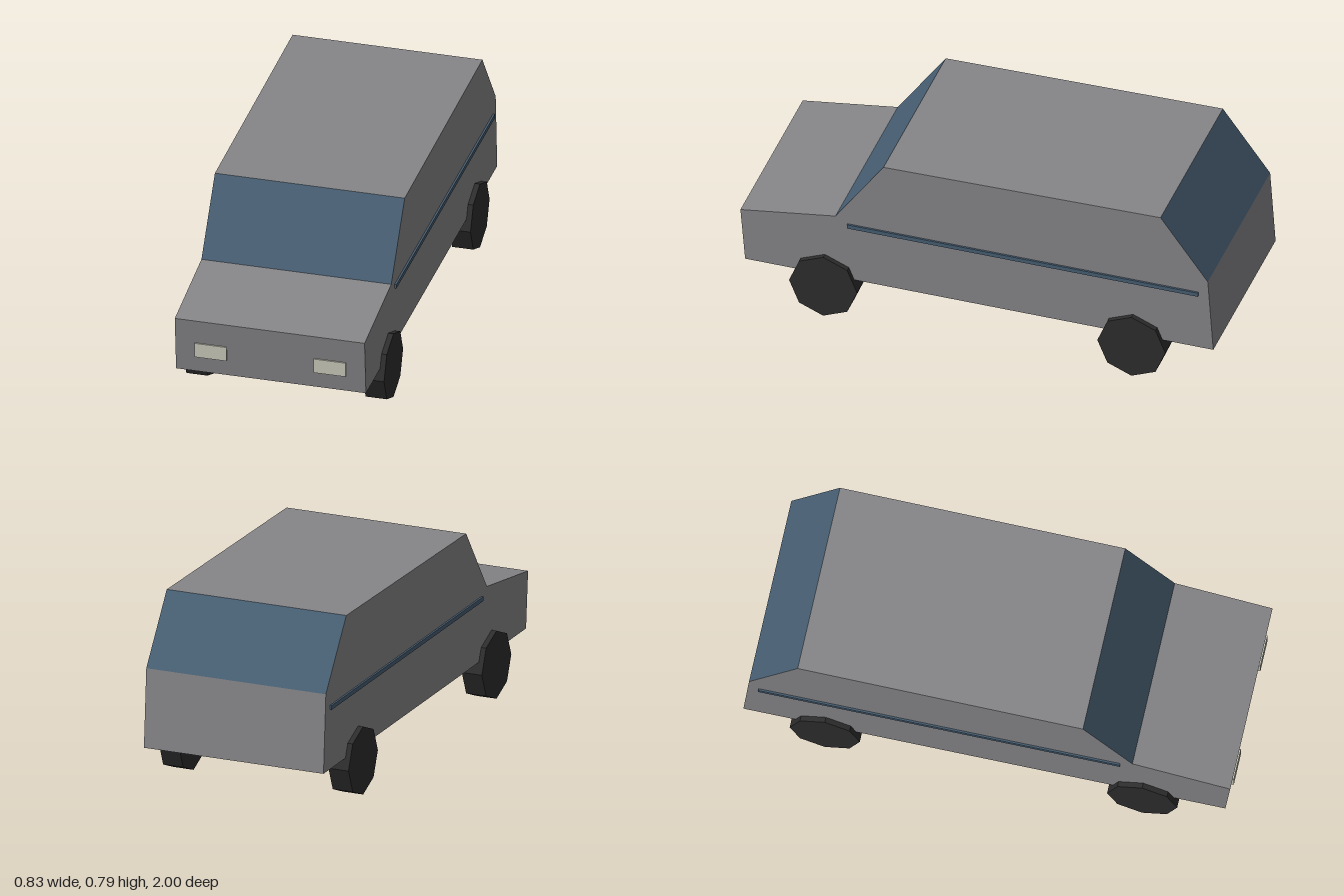
import * as THREE from 'three';

const flat = (name, color) => {
  const m = new THREE.MeshStandardMaterial({ color });
  m.name = name;
  return m;
};

export function createModel() {
  const paint = flat('grey paint', 0x868689);
  const glass = flat('blue glass', 0x475e72);
  const rubber = flat('black rubber', 0x2d2d2d);
  const lamp = flat('lamp cream', 0xc9c9ba);

  const car = new THREE.Group();
  car.name = 'car';
  const add = (name, geometry, material, x = 0, y = 0, z = 0) => {
    const mesh = new THREE.Mesh(geometry, material);
    mesh.name = name;
    mesh.position.set(x, y, z);
    car.add(mesh);
    return mesh;
  };

  // Side profile as [z, y], from the front bottom over the roof to the rear bottom
  const halfWidth = 0.395;
  const profile = [
    [0.98, 0.19], [1.0, 0.428], [0.598, 0.487], [0.395, 0.774],
    [-0.777, 0.792], [-0.977, 0.52], [-1.0, 0.19],
  ];

  // Panels running across the body, one for each edge of the profile
  const panels = [
    ['frontPanel', paint], ['hood', paint], ['windshield', glass], ['roof', paint],
    ['rearWindow', glass], ['tailPanel', paint], ['underside', paint],
  ];
  panels.forEach(([name, material], i) => {
    const [az, ay] = profile[i];
    const [bz, by] = profile[(i + 1) % profile.length];
    const geometry = new THREE.BufferGeometry();
    geometry.setAttribute('position', new THREE.Float32BufferAttribute([
      halfWidth, ay, az, halfWidth, by, bz, -halfWidth, by, bz, -halfWidth, ay, az,
    ], 3));
    geometry.setIndex([0, 1, 2, 0, 2, 3]);
    geometry.computeVertexNormals();
    add(name, geometry, material);
  });

  for (const side of [1, -1]) {
    const label = side > 0 ? 'left' : 'right';

    // Flat body side
    const outline = new THREE.Shape(profile.map(([z, y]) => new THREE.Vector2(-side * z, y)));
    const sideGeometry = new THREE.ShapeGeometry(outline).rotateY(side * Math.PI / 2);
    add(label + 'BodySide', sideGeometry, paint, side * halfWidth);

    // Trim strip and headlight
    add(label + 'TrimStrip', new THREE.BoxGeometry(0.016, 0.018, 1.485), glass,
      side * 0.395, 0.452, -0.195);
    add(label + 'Headlight', new THREE.BoxGeometry(0.133, 0.062, 0.018), lamp,
      side * 0.248, 0.293, 0.988);

    // Eight-sided wheels with a corner at the top
    for (const [end, z] of [['Front', 0.643], ['Rear', -0.661]]) {
      const wheel = new THREE.CylinderGeometry(0.144, 0.144, 0.088, 8).rotateZ(Math.PI / 2);
      // Split the rim into flat facets
      const facets = wheel.toNonIndexed();
      facets.computeVertexNormals();
      add(label + end + 'Wheel', facets, rubber, side * 0.373, 0.144, z);
    }
  }
  return car;
}
